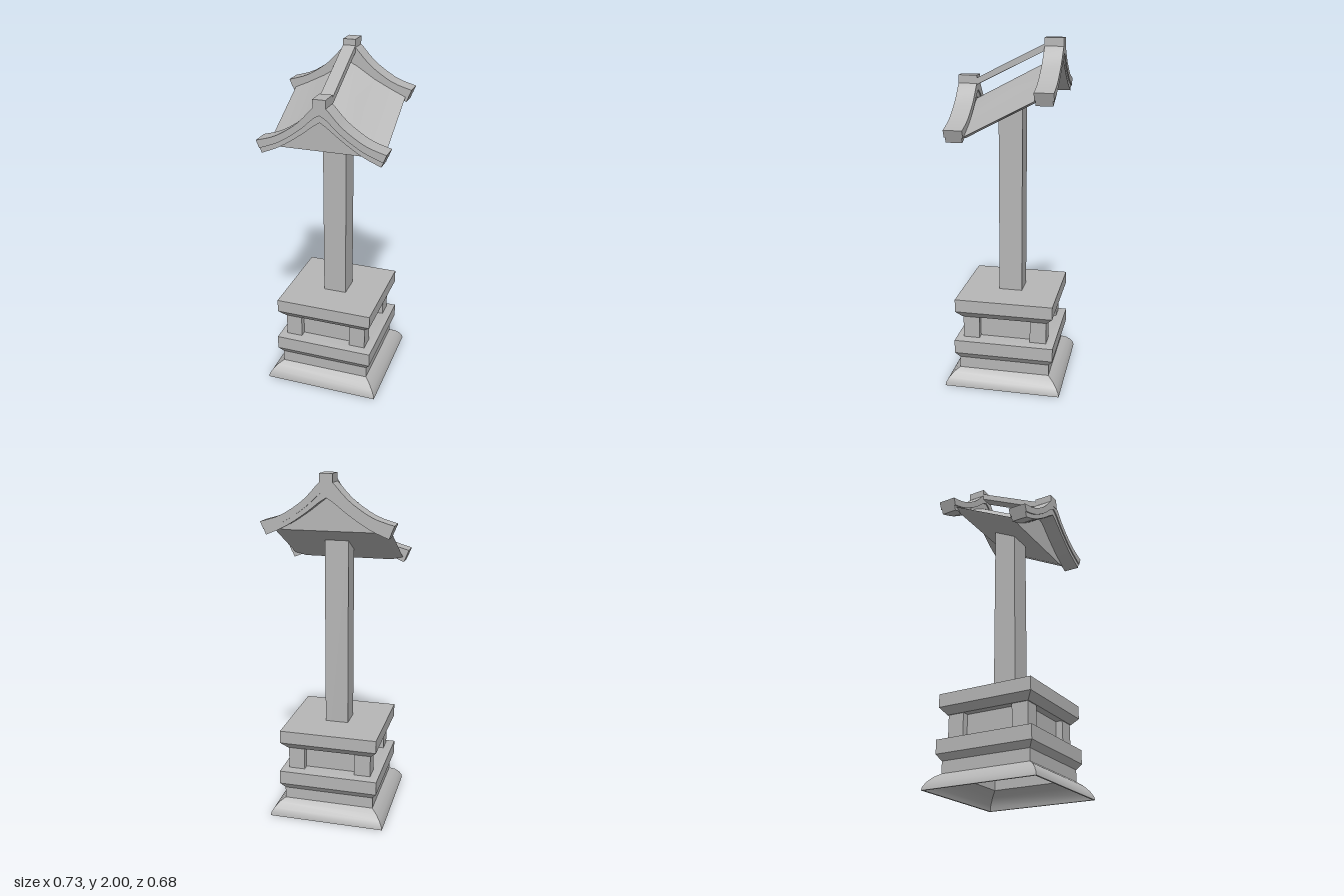
import * as THREE from 'three';
import { toCreasedNormals } from 'three/addons/utils/BufferGeometryUtils.js';

const stone = new THREE.MeshStandardMaterial({ color: 0xb6b6b6 });
stone.name = 'grey stone';

const V = (x, y) => new THREE.Vector2(x, y);

export function createModel() {
  const model = new THREE.Group();
  model.name = 'stoneLantern';

  function add(name, geometry) {
    const mesh = new THREE.Mesh(toCreasedNormals(geometry, 0.6), stone);
    mesh.name = name;
    model.add(mesh);
    return mesh;
  }

  function box(name, x0, x1, y0, y1, z0, z1) {
    const g = new THREE.BoxGeometry(x1 - x0, y1 - y0, z1 - z0);
    g.translate((x0 + x1) / 2, (y0 + y1) / 2, (z0 + z1) / 2);
    return add(name, g);
  }

  // square turned solid from [half width, height] pairs
  function squareLathe(name, profile) {
    const pts = profile.map(([r, y]) => V(r * Math.SQRT2, y));
    return add(name, new THREE.LatheGeometry(pts, 4, Math.PI / 4));
  }

  // outline extruded along z between two depths
  function extrude(points, z0, z1) {
    const g = new THREE.ExtrudeGeometry(new THREE.Shape(points), { depth: z1 - z0, bevelEnabled: false });
    return g.translate(0, 0, z0);
  }

  // raise the geometry towards the back
  function tilt(g, slope, zRef) {
    const p = g.attributes.position;
    for (let i = 0; i < p.count; i++) p.setY(i, p.getY(i) + slope * (zRef - p.getZ(i)));
    return g;
  }

  // hollow plinth with flared skirt
  squareLathe('plinth', [
    [0, 0.25], [0.25, 0.25], [0.25, 0.1], [0.29, 0.07], [0.32, 0.03], [0.328, 0],
    [0.338, 0], [0.335, 0.018], [0.32, 0.045], [0.295, 0.073], [0.265, 0.093],
    [0.265, 0.16], [0.29, 0.195], [0.29, 0.274], [0.25, 0.284], [0, 0.284],
  ]);

  // recessed chamber with four corner posts
  box('chamber', -0.205, 0.205, 0.28, 0.42, -0.205, 0.205);
  for (const sx of [-1, 1]) {
    for (const sz of [-1, 1]) {
      const cx = sx * 0.1975, cz = sz * 0.1975, h = 0.0475;
      box('cornerPost', cx - h, cx + h, 0.275, 0.42, cz - h, cz + h);
    }
  }

  // bevelled cap slab
  squareLathe('capSlab', [[0, 0.415], [0.25, 0.415], [0.285, 0.455], [0.285, 0.53], [0, 0.53]]);

  // square pole running down into the hollow plinth
  box('pole', -0.068, 0.068, 0.16, 1.62, -0.068, 0.068);

  // tilted roof body with flat underside
  const half = [[0.26, 1.48], [0.328, 1.495], [0.25, 1.53], [0.15, 1.58], [0.036, 1.652]];
  const body = [
    ...half.map(([x, y]) => V(x, y)), V(0, 1.662),
    ...half.slice().reverse().map(([x, y]) => V(-x, y)),
  ];
  add('roofBody', tilt(extrude(body, -0.2, 0.21), 0.525, 0.2));

  // sloping ridge rod
  const rod = [V(-0.036, 1.737), V(0.036, 1.737), V(0.036, 1.775), V(-0.036, 1.775)];
  add('ridgeRod', tilt(extrude(rod, -0.2, 0.21), 0.5, 0.2));

  // curved gable beams, each a wide upper layer on a narrower lower one
  const sample = (pts) => new THREE.SplineCurve(pts.map(([x, y]) => V(x, y))).getPoints(12);
  const upper = sample([[0, 0.02], [0.036, 0], [0.11, -0.08], [0.185, -0.137], [0.265, -0.182], [0.364, -0.212]]);
  const lower = sample([[0, -0.08], [0.04, -0.105], [0.1, -0.152], [0.18, -0.207], [0.25, -0.247], [0.335, -0.283]]);
  const layer = (t) => {
    const right = upper.map((p, i) => p.clone().lerp(lower[i], t));
    const left = right.slice(1).reverse().map((p) => V(-p.x, p.y));
    return [...left, ...right];
  };
  const outline = (t0, t1) => [...layer(t1), ...layer(t0).reverse()];

  for (const [name, y, z] of [['front', 1.745, 0.2525], ['back', 1.955, -0.235]]) {
    add(name + 'BeamUpper', extrude(outline(0, 0.6), z - 0.0525, z + 0.0525)).position.y = y;
    add(name + 'BeamLower', extrude(outline(0.6, 1), z - 0.046, z + 0.046)).position.y = y;
    box(name + 'RidgeCap', -0.036, 0.036, y - 0.02, y + 0.045, z - 0.0535, z + 0.0535);
  }

  return model;
}
